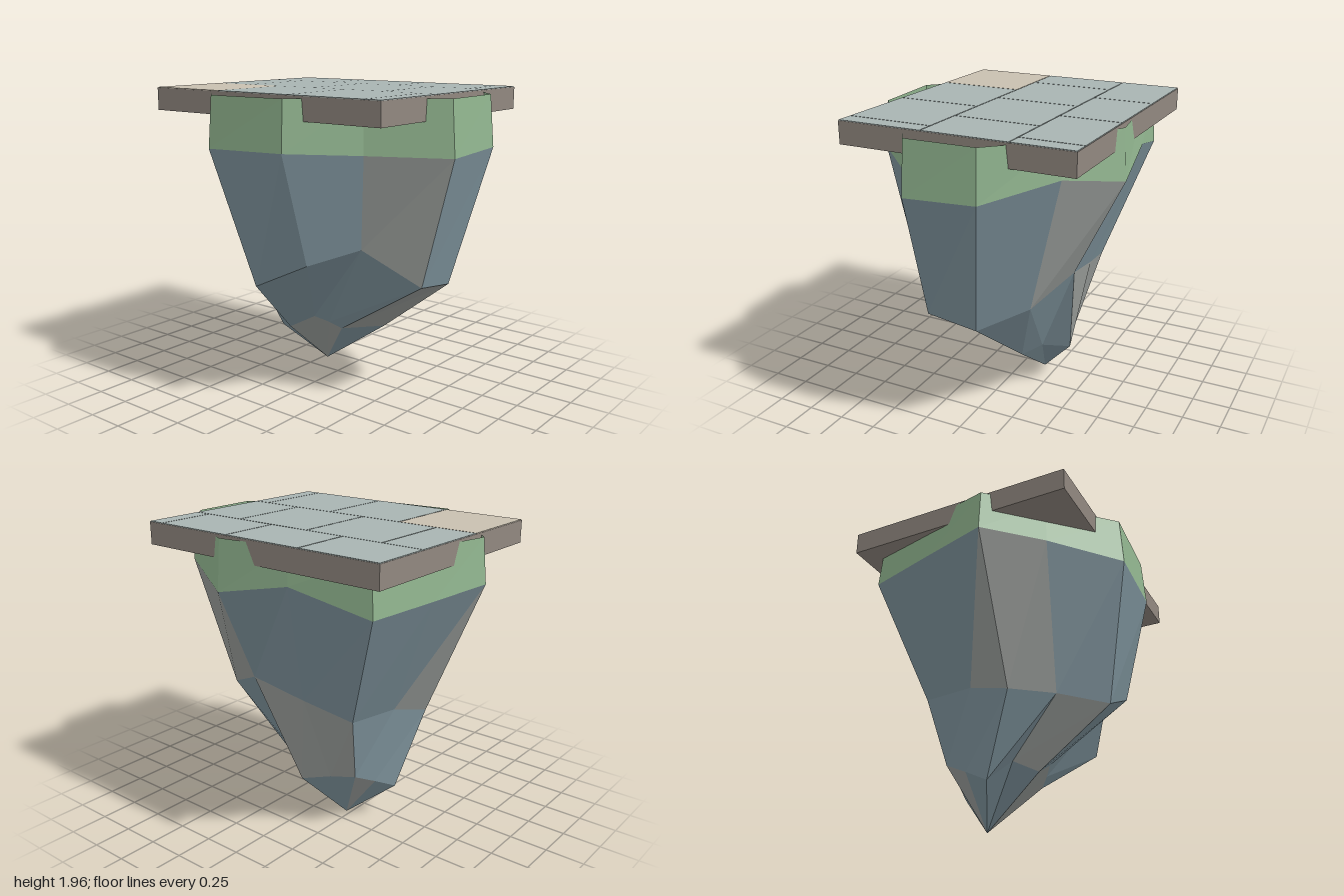
import * as THREE from 'three';

const mat = (name, color, side = THREE.FrontSide) => {
  const m = new THREE.MeshStandardMaterial({ color, side });
  m.name = name;
  return m;
};

// Cross-sections of the rock, listed counter-clockwise from the front left
const RIM = [
  [-0.32, 1.62, 0.85], [0.23, 1.63, 0.81], [0.56, 1.61, 0.47], [1.0, 1.6, 0.19],
  [0.99, 1.62, -0.28], [0.65, 1.72, -0.63], [0.21, 1.62, -0.85], [-0.28, 1.72, -0.78],
  [-0.81, 1.6, -0.69], [-0.91, 1.63, -0.25], [-1.0, 1.66, 0.17], [-0.69, 1.66, 0.48],
];
const WAIST = [
  [-0.145, 0.74, 0.65], [0.25, 0.93, 0.62], [0.48, 1.02, 0.38], [0.79, 0.79, 0.18],
  [0.78, 0.74, -0.15], [0.55, 0.84, -0.4], [0.23, 0.99, -0.55], [-0.15, 0.91, -0.51],
  [-0.5, 0.84, -0.46], [-0.56, 0.83, -0.11], [-0.61, 0.745, 0.175], [-0.4, 0.755, 0.4],
];
const FOOT = [
  [-0.25, 0.33, 0.21], [-0.05, 0.44, 0.19], [0.03, 0.4, 0.13], [0.09, 0.35, 0.07],
  [0.25, 0.33, -0.2], [0.1, 0.35, -0.28], [-0.05, 0.3, -0.42], [-0.25, 0.36, -0.37],
  [-0.43, 0.4, -0.34], [-0.47, 0.32, -0.18], [-0.51, 0.23, -0.01], [-0.39, 0.37, 0.1],
];
const TIP = RIM.map(() => [-0.22, 0, -0.16]);
const GRASS_TOP = RIM.map(([x, , z]) => [x * 0.973, 1.94, z * 0.973]);

// Triangles of a faceted band; keep(i, half) selects which facets to include
function band(top, bottom, keep = () => true) {
  const out = [];
  for (let i = 0; i < top.length; i++) {
    const j = (i + 1) % top.length;
    if (keep(i, 0)) out.push(bottom[i], bottom[j], top[j]);
    if (keep(i, 1)) out.push(bottom[i], top[j], top[i]);
  }
  return out;
}

function facetMesh(name, points, material) {
  const g = new THREE.BufferGeometry();
  g.setAttribute('position', new THREE.Float32BufferAttribute(points.flat(), 3));
  g.computeVertexNormals();
  const mesh = new THREE.Mesh(g, material);
  mesh.name = name;
  return mesh;
}

export function createModel() {
  const group = new THREE.Group();
  group.name = 'floatingIsland';
  const blueRock = mat('blue rock', 0x7f949d, THREE.DoubleSide);
  const greyRock = mat('grey rock', 0x9a9e9b, THREE.DoubleSide);
  const grass = mat('grass', 0x91b58f, THREE.DoubleSide);
  const mortar = mat('slab stone', 0x918880);
  const paving = mat('paving', 0xa8b4b2);
  const sand = mat('sand paving', 0xc8c0b0);

  // Rock: grey facets are picked per band, the rest are blue
  const layers = [
    { name: 'upperRock', top: RIM, bottom: WAIST, grey: (i, h) => [2, 5, 10].includes(i) || (i === 9 && h === 0) },
    { name: 'lowerRock', top: WAIST, bottom: FOOT, grey: (i) => [3, 6, 7, 11].includes(i) },
    { name: 'rockTip', top: FOOT, bottom: TIP, grey: (i) => [0, 1, 2, 8].includes(i) },
  ];
  for (const { name, top, bottom, grey } of layers) {
    // The tip's lower ring is one point, so only its upper triangles exist
    const real = (h) => bottom !== TIP || h === 1;
    group.add(
      facetMesh(name + 'Blue', band(top, bottom, (i, h) => real(h) && !grey(i, h)), blueRock),
      facetMesh(name + 'Grey', band(top, bottom, (i, h) => real(h) && grey(i, h)), greyRock),
    );
  }

  // Grass collar, open at the top
  group.add(facetMesh('grassCollar', band(GRASS_TOP, RIM), grass));

  // Slab
  const box = (name, x0, x1, y0, y1, z0, z1, material) => {
    const mesh = new THREE.Mesh(new THREE.BoxGeometry(x1 - x0, y1 - y0, z1 - z0), material);
    mesh.name = name;
    mesh.position.set((x0 + x1) / 2, (y0 + y1) / 2, (z0 + z1) / 2);
    group.add(mesh);
  };
  box('slab', -0.93, 0.85, 1.81, 1.953, -0.8, 0.71, mortar);

  // Paving in running bond with narrow joints
  const gap = 0.003;
  const rows = [
    { z: [-0.8, -0.405], x: [-0.93, -0.375, 0.18, 0.735, 0.85] },
    { z: [-0.405, 0.152], x: [-0.93, -0.652, -0.097, 0.458, 0.85] },
    { z: [0.152, 0.71], x: [-0.93, -0.375, 0.18, 0.735, 0.85] },
  ];
  rows.forEach(({ z, x }, r) => {
    for (let i = 0; i < x.length - 1; i++) {
      const isSand = r === 2 && i === 0;
      box(isSand ? 'sandTile' : 'pavingTile', x[i] + gap, x[i + 1] - gap, 1.952, 1.958,
        z[0] + gap, z[1] - gap, isSand ? sand : paving);
    }
  });
  return group;
}
